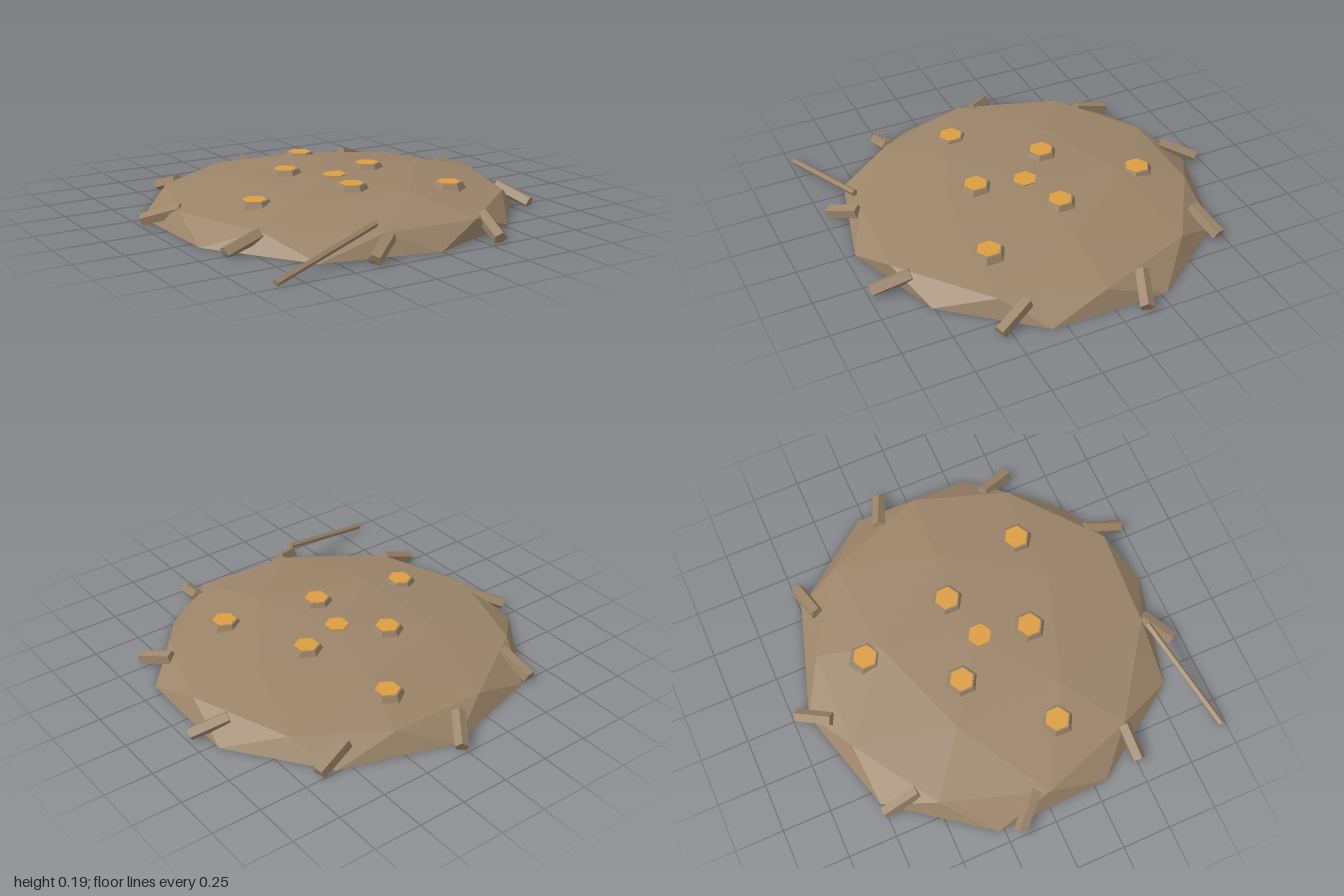
import * as THREE from 'three';

const brown = new THREE.MeshStandardMaterial({ color: 0x9b8469, flatShading: true });
brown.name = 'earthBrown';
const orange = new THREE.MeshStandardMaterial({ color: 0xdb9d42, flatShading: true });
orange.name = 'amber';

// Low mound: apex, ring of 5, ring of 10, staggered foot ring of 10, flat underside
function moundGeometry() {
  const apex = [0, 0.165, 0];
  const upper = [[0.5, 0], [0.15, 0.48], [-0.4, 0.3], [-0.4, -0.27], [0.14, -0.46]]
    .map(([x, z]) => [x, 0.153, z]);
  const middle = [[0.86, 0.02], [0.7, 0.5], [0.26, 0.86], [-0.24, 0.83], [-0.7, 0.51],
    [-0.87, 0.02], [-0.7, -0.5], [-0.26, -0.78], [0.25, -0.77], [0.67, -0.5]]
    .map(([x, z]) => [x, 0.095, z]);
  const foot = [[0.9, 0.32], [0.53, 0.76], [0, 0.95], [-0.57, 0.81], [-0.91, 0.32],
    [-0.93, -0.28], [-0.57, -0.76], [0, -0.92], [0.57, -0.74], [0.91, -0.28]]
    .map(([x, z]) => [x, 0, z]);
  const pos = [];
  const tri = (a, b, c) => pos.push(...a, ...b, ...c);
  for (let i = 0; i < 5; i++) {
    const a = upper[i], next = upper[(i + 1) % 5];
    const before = middle[(2 * i + 9) % 10], m = middle[2 * i], after = middle[2 * i + 1];
    tri(apex, next, a);
    tri(a, next, after);
    tri(a, after, m);
    tri(a, m, before);
  }
  for (let j = 0; j < 10; j++) {
    const k = (j + 1) % 10;
    tri(middle[j], middle[k], foot[j]);
    tri(middle[k], foot[k], foot[j]);
    tri([0, 0, 0], foot[j], foot[k]);
  }
  const g = new THREE.BufferGeometry();
  g.setAttribute('position', new THREE.Float32BufferAttribute(pos, 3));
  g.computeVertexNormals();
  return g;
}

// Five-sided stick between two points, kept above the ground
function stick(name, from, to, radius) {
  const a = new THREE.Vector3(...from), b = new THREE.Vector3(...to);
  const dir = b.clone().sub(a);
  const g = new THREE.CylinderGeometry(radius, radius, dir.length(), 5);
  g.applyQuaternion(new THREE.Quaternion().setFromUnitVectors(
    new THREE.Vector3(0, 1, 0), dir.normalize()));
  const c = a.add(b).multiplyScalar(0.5);
  g.translate(c.x, c.y, c.z);
  const p = g.attributes.position;
  for (let i = 0; i < p.count; i++) p.setY(i, Math.max(0, p.getY(i)));
  g.computeVertexNormals();
  const mesh = new THREE.Mesh(g, brown);
  mesh.name = name;
  return mesh;
}

export function createModel() {
  const model = new THREE.Group();
  model.name = 'mound';

  const dome = new THREE.Mesh(moundGeometry(), brown);
  dome.name = 'dome';
  model.add(dome);

  // Hexagonal vents: x, z, height of the top
  const vents = [[-0.19, -0.155, 0.185], [0.24, -0.05, 0.185], [-0.06, 0.275, 0.184],
    [-0.56, 0.2, 0.155], [0.42, 0.42, 0.16], [0.125, -0.55, 0.157]];
  const glow = (x, y, z) => {
    const m = new THREE.Mesh(new THREE.CylinderGeometry(0.062, 0.062, 0.006, 6), orange);
    m.position.set(x, y - 0.003, z);
    m.name = 'ventGlow';
    model.add(m);
  };
  for (const [x, z, top] of vents) {
    const rim = new THREE.Mesh(new THREE.CylinderGeometry(0.07, 0.09, 0.035, 6), brown);
    rim.position.set(x, top - 0.0195, z);
    rim.name = 'ventRim';
    model.add(rim);
    glow(x, top, z);
  }
  // Flush centre vent
  glow(-0.005, 0.171, 0.025);

  // Sticks leaning on the edge: inner x, z and outer x, z
  const sticks = [[-0.09, -0.82, 0.02, -0.975], [-0.6, -0.57, -0.62, -0.76],
    [-0.83, -0.04, -0.975, -0.18], [-0.7, 0.505, -0.88, 0.51], [-0.22, 0.845, -0.37, 0.95],
    [0.35, 0.79, 0.31, 0.98], [0.76, 0.38, 0.835, 0.555], [0.8, -0.2, 0.98, -0.13],
    [0.47, -0.68, 0.66, -0.725]];
  for (const [xi, zi, xo, zo] of sticks) {
    model.add(stick('edgeStick', [xo, 0.018, zo], [xi, 0.082, zi], 0.036));
  }
  model.add(stick('longStick', [-0.88, 0.014, 0.975], [-0.29, 0.15, 0.835], 0.017));

  return model;
}
